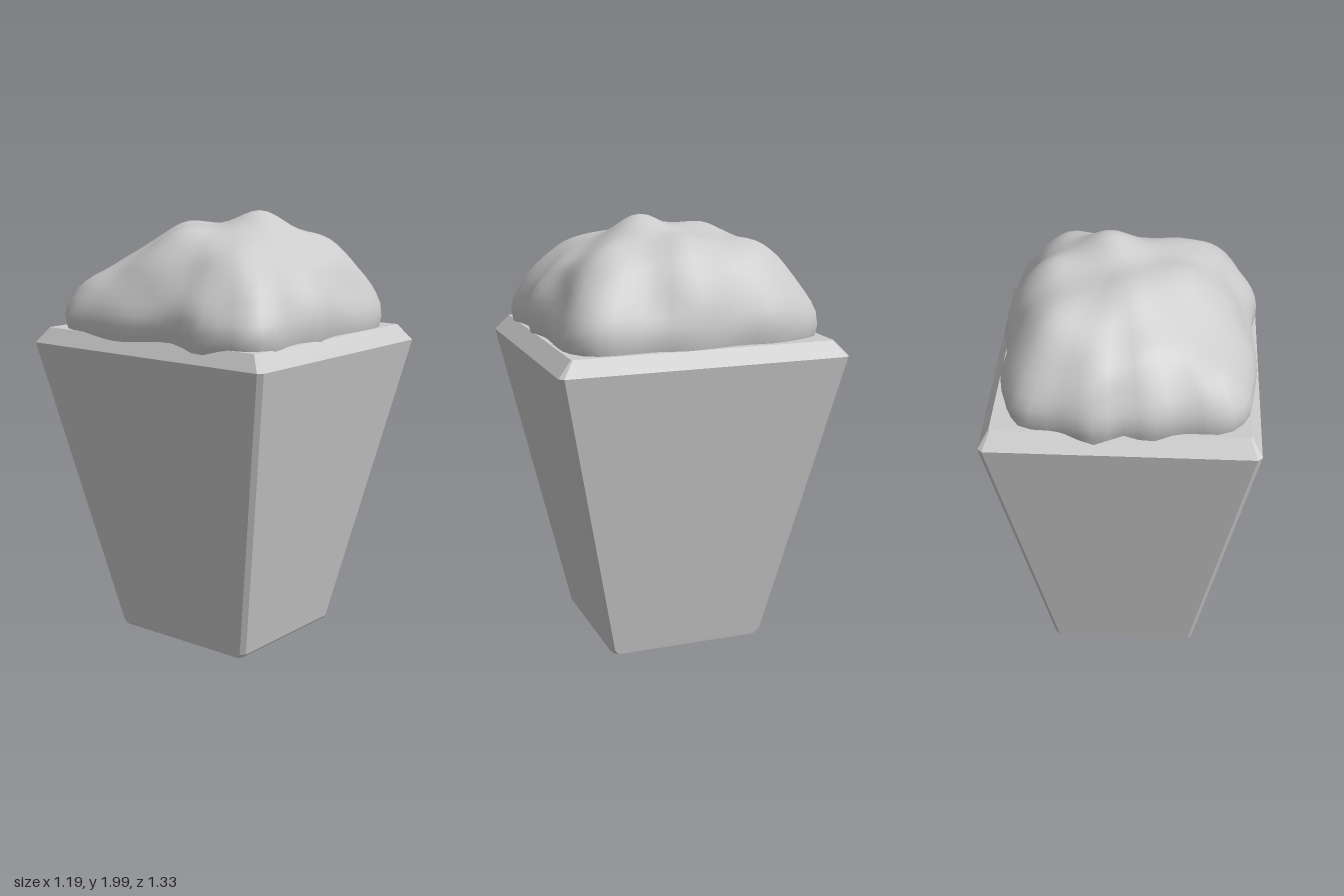
import * as THREE from 'three';

const material = (flat) => new THREE.MeshStandardMaterial({ color: 0xcccccc, flatShading: flat });

// Skin a stack of equal-length loops (each running from +x towards +z), bottom to top
function loft(loops, capBottom, capTop) {
  const n = loops[0].length;
  const points = loops.flat();
  const index = [];
  for (let r = 0; r < loops.length - 1; r++) {
    for (let i = 0; i < n; i++) {
      const a = r * n + i, b = r * n + (i + 1) % n;
      index.push(a, a + n, b, b, a + n, b + n);
    }
  }
  const top = (loops.length - 1) * n;
  for (let i = 1; i < n - 1; i++) {
    if (capBottom) index.push(0, i, i + 1);
    if (capTop) index.push(top, top + i + 1, top + i);
  }
  const geometry = new THREE.BufferGeometry().setFromPoints(points);
  geometry.setIndex(index);
  return geometry;
}

// Rectangle with cut corners: half width w, half depth d, corner cut c
function cutRectangle(y, w, d, c) {
  return [
    [w, -d + c], [w, d - c], [w - c, d], [-w + c, d],
    [-w, d - c], [-w, -d + c], [-w + c, -d], [w - c, -d],
  ].map(([x, z]) => new THREE.Vector3(x, y, z));
}

// Tapered square pot with chamfered edges and a bevelled rim
function createPot() {
  const geometry = loft([
    cutRectangle(0, 0.333, 0.355, 0.015),
    cutRectangle(0.02, 0.337, 0.378, 0.02),
    cutRectangle(1.388, 0.596, 0.667, 0.02),
    cutRectangle(1.458, 0.551, 0.603, 0.006),
  ], true, true).toNonIndexed();
  geometry.computeVertexNormals();
  const pot = new THREE.Mesh(geometry, material(true));
  pot.name = 'pot';
  return pot;
}

// Small ripples, varying smoothly through space
function ripple(p) {
  return 0.6 * Math.sin(8 * p.x + 5 * p.y + 1.1) * Math.sin(7 * p.z - 6 * p.y + 0.4)
    + 0.4 * Math.sin(13 * p.z + 3 * p.x) * Math.sin(11 * p.x + 16 * p.y + 0.7);
}

// Knolls and hollows on top of the heap: x, z, height, radius
const knolls = [
  [0.08, 0.15, 0.085, 0.14],
  [-0.03, -0.2, 0.04, 0.13],
  [-0.24, -0.05, 0.035, 0.12],
  [0.33, -0.34, 0.035, 0.12],
  [0.34, 0.02, 0.04, 0.12],
  [0.29, 0.38, 0.03, 0.1],
  [-0.42, 0.36, 0.035, 0.11],
  [-0.34, -0.34, -0.07, 0.2],
  [0, 0.42, -0.035, 0.13],
  [0, -0.42, -0.03, 0.13],
];

// Rounded, lumpy heap that fills the pot
function createHeap() {
  const outline = new THREE.CatmullRomCurve3([
    [0.56, 0.08], [0.53, 0.22], [0.54, 0.42], [0.52, 0.52], [0.42, 0.59],
    [0.3, 0.6], [0.06, 0.59], [-0.1, 0.62], [-0.23, 0.59], [-0.43, 0.62],
    [-0.54, 0.55], [-0.56, 0.45], [-0.59, 0.33], [-0.56, 0.15], [-0.58, -0.17],
    [-0.56, -0.38], [-0.54, -0.49], [-0.45, -0.59], [-0.27, -0.6], [-0.13, -0.64],
    [0, -0.62], [0.1, -0.66], [0.27, -0.61], [0.42, -0.59], [0.48, -0.51],
    [0.53, -0.33], [0.52, -0.19],
  ].map(([x, z]) => new THREE.Vector3(x, 0, z)), true, 'centripetal');

  // Outline scale against height
  const profile = new THREE.CatmullRomCurve3([
    [0.96, 1.41], [0.985, 1.46], [1, 1.53], [0.96, 1.61], [0.87, 1.71], [0.75, 1.8],
    [0.58, 1.865], [0.39, 1.895], [0.22, 1.908], [0.1, 1.913], [0.003, 1.915],
  ].map(([s, y]) => new THREE.Vector3(s, y, 0)), false, 'centripetal');

  const rows = 24, around = 64;
  const rim = outline.getSpacedPoints(around).slice(0, around);
  const loops = profile.getSpacedPoints(rows).map(({ x: s, y }) => {
    const rise = THREE.MathUtils.smoothstep(y, 1.5, 1.88);
    return rim.map((q) => {
      // Loops grow rounder as they rise
      const angle = Math.atan2(q.z, q.x);
      const round = 0.35 * rise;
      const p = new THREE.Vector3(
        s * THREE.MathUtils.lerp(q.x, 0.57 * Math.cos(angle), round) + 0.015 * rise,
        y,
        s * THREE.MathUtils.lerp(q.z, 0.63 * Math.sin(angle), round) + 0.01 * rise,
      );
      const { x, z } = p;
      const bump = ripple(p) * 0.022 * THREE.MathUtils.smoothstep(y, 1.44, 1.65);
      const outward = new THREE.Vector3(q.x, 0, q.z).normalize().multiplyScalar(s);
      p.addScaledVector(outward, bump);
      for (const [kx, kz, height, radius] of knolls) {
        p.y += rise * height * Math.exp(-((x - kx) ** 2 + (z - kz) ** 2) / radius ** 2);
      }
      p.y = Math.min(p.y, 2);
      return p;
    });
  });
  const geometry = loft(loops, false, true);
  geometry.computeVertexNormals();
  const heap = new THREE.Mesh(geometry, material(false));
  heap.name = 'heap';
  return heap;
}

export function createModel() {
  const model = new THREE.Group();
  model.name = 'filledPot';
  model.add(createPot(), createHeap());
  return model;
}
